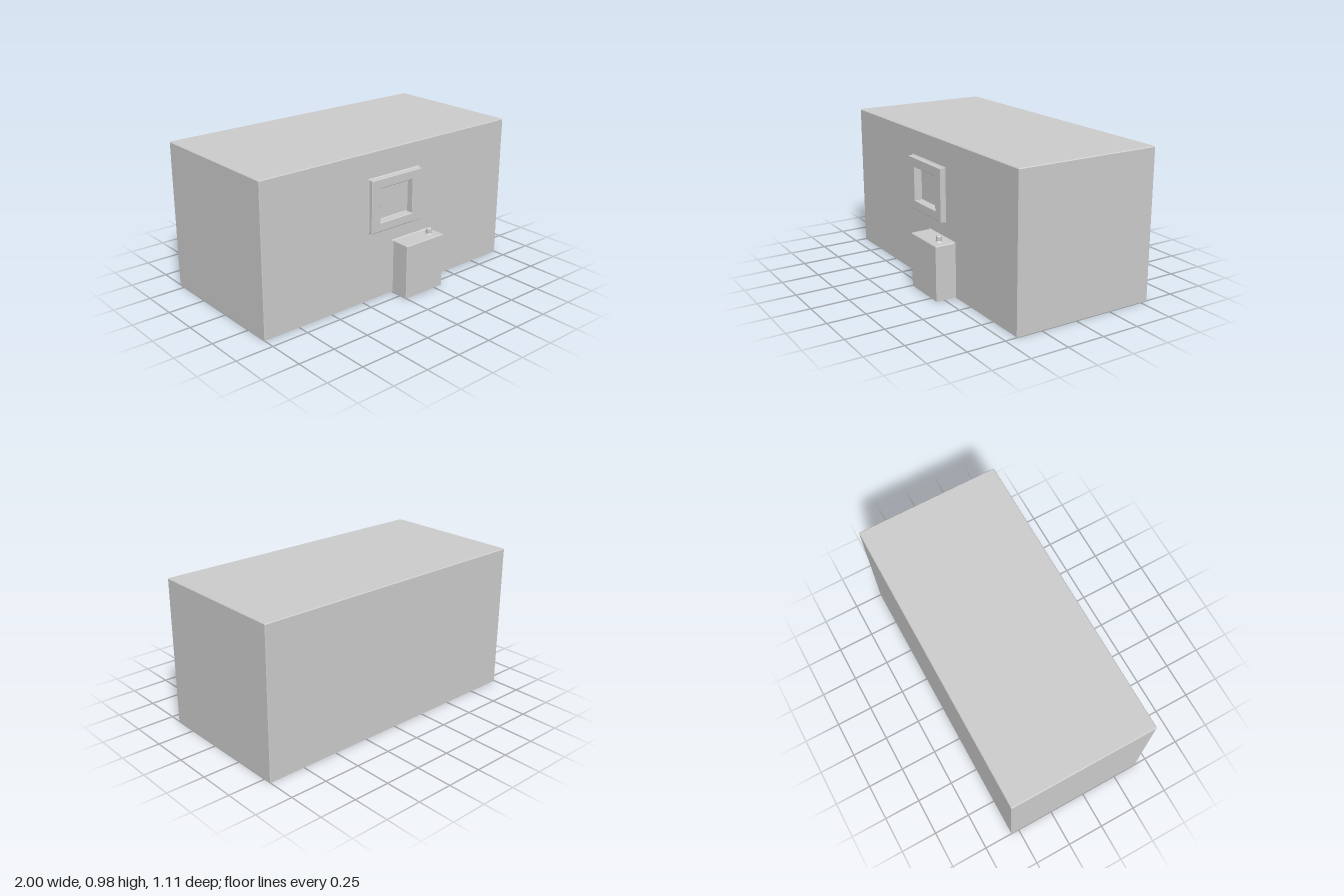
import * as THREE from 'three';

const material = new THREE.MeshStandardMaterial({ color: 0xcccccc, flatShading: true, side: THREE.DoubleSide });

// Skin between successive sections, each a list of [x, y, z] points.
function loft(sections, closed) {
  const positions = [];
  for (let s = 0; s < sections.length - 1; s++) {
    const a = sections[s], b = sections[s + 1], n = a.length;
    for (let i = 0; i < (closed ? n : n - 1); i++) {
      const j = (i + 1) % n;
      positions.push(...a[i], ...a[j], ...b[j], ...a[i], ...b[j], ...b[i]);
    }
  }
  const geometry = new THREE.BufferGeometry();
  geometry.setAttribute('position', new THREE.Float32BufferAttribute(positions, 3));
  geometry.computeVertexNormals();
  return geometry;
}

function polygon(points, Type = THREE.Shape) {
  return new Type(points.map(([x, y]) => new THREE.Vector2(x, y)));
}

const rect = (w, y0, y1) => [[-w, y0], [w, y0], [w, y1], [-w, y1]];

function add(parent, name, geometry) {
  const mesh = new THREE.Mesh(geometry, material);
  mesh.name = name;
  parent.add(mesh);
  return mesh;
}

// Flat horizontal sheet from a shape drawn in x and -z.
function sheet(shape, y) {
  return new THREE.ShapeGeometry(shape).rotateX(-Math.PI / 2).translate(0, y, 0);
}

// Hollow main block, open underneath
function buildBody() {
  const body = new THREE.Group();
  body.name = 'body';
  const c = 0.005, front = 0.42, back = -0.555, eave = 0.978, top = 0.983;
  const outline = (y, inset) => {
    const w = 1 - inset, f = front - inset, b = back + inset;
    return [[w - c, y, f], [w, y, f - c], [w, y, b + c], [w - c, y, b],
      [c - w, y, b], [-w, y, b + c], [-w, y, f - c], [c - w, y, f]];
  };
  add(body, 'sideAndBackWalls', loft([outline(0, 0), outline(eave, 0)], false));
  add(body, 'roofBevel', loft([outline(eave, 0), outline(top, c)], true));
  add(body, 'roof', sheet(polygon(outline(top, c).map(([x, , z]) => [x, -z])), top));

  // Front wall with openings behind the window and the cabinet
  const wall = polygon([[c - 1, 0], [-0.006, 0], [-0.006, 0.367], [0.326, 0.367], [0.326, 0],
    [1 - c, 0], [1 - c, eave], [c - 1, eave]]);
  wall.holes.push(polygon(rect(0.213, 0.457, 0.817), THREE.Path));
  add(body, 'frontWall', new THREE.ShapeGeometry(wall).translate(0, 0, front));
  return body;
}

// Raised frame around a recessed pane
function buildWindow() {
  const group = new THREE.Group();
  group.name = 'window';
  const section = (w, y0, y1, z) => rect(w, y0, y1).map(([x, y]) => [x, y, z]);
  add(group, 'windowFrame', loft([
    section(0.213, 0.457, 0.817, 0.42),
    section(0.206, 0.464, 0.81, 0.427),
    section(0.206, 0.464, 0.81, 0.449),
    section(0.202, 0.468, 0.806, 0.453),
    section(0.137, 0.52, 0.752, 0.453),
    section(0.133, 0.524, 0.748, 0.449),
    section(0.133, 0.524, 0.748, 0.406),
    section(0.129, 0.528, 0.744, 0.402),
  ], true));
  add(group, 'windowPane', new THREE.ShapeGeometry(polygon(rect(0.129, 0.528, 0.744))).translate(0, 0, 0.402));
  return group;
}

// Hollow cabinet against the front wall, with a stub on top
function buildCabinet() {
  const group = new THREE.Group();
  group.name = 'cabinet';
  const x0 = 0, x1 = 0.32, c = 0.005, top = 0.362, front = 0.555;
  const outline = (y, inset, wallY) => {
    const l = x0 + inset, r = x1 - inset, f = front - inset;
    return [[x0 - 0.006, wallY, 0.42], [l, y, 0.427], [l, y, f - c], [l + c, y, f],
      [r - c, y, f], [r, y, f - c], [r, y, 0.427], [x1 + 0.006, wallY, 0.42]];
  };
  const upper = outline(top, c, 0.367);
  add(group, 'cabinetSides', loft([outline(0, 0, 0), outline(top - c, 0, top - c), upper], false));
  add(group, 'cabinetFillet', loft([[upper[1], upper[6]], [upper[0], upper[7]]], false));

  const px = 0.248, pz = 0.492, sides = 8, baseRadius = 0.025;
  const lid = polygon(upper.slice(1, 7).map(([x, , z]) => [x, -z]));
  const hole = Array.from({ length: sides }, (_, i) => {
    const a = i / sides * Math.PI * 2;
    return [px + baseRadius * Math.sin(a), -pz - baseRadius * Math.cos(a)];
  });
  lid.holes.push(polygon(hole, THREE.Path));
  add(group, 'cabinetTop', sheet(lid, top));

  const profile = [[baseRadius, 0], [0.019, 0.007], [0.019, 0.036], [0.015, 0.041], [0, 0.041]]
    .map(([r, y]) => new THREE.Vector2(r, y));
  add(group, 'stub', new THREE.LatheGeometry(profile, sides)).position.set(px, top, pz);
  return group;
}

export function createModel() {
  const model = new THREE.Group();
  model.name = 'building';
  model.add(buildBody(), buildWindow(), buildCabinet());
  return model;
}
